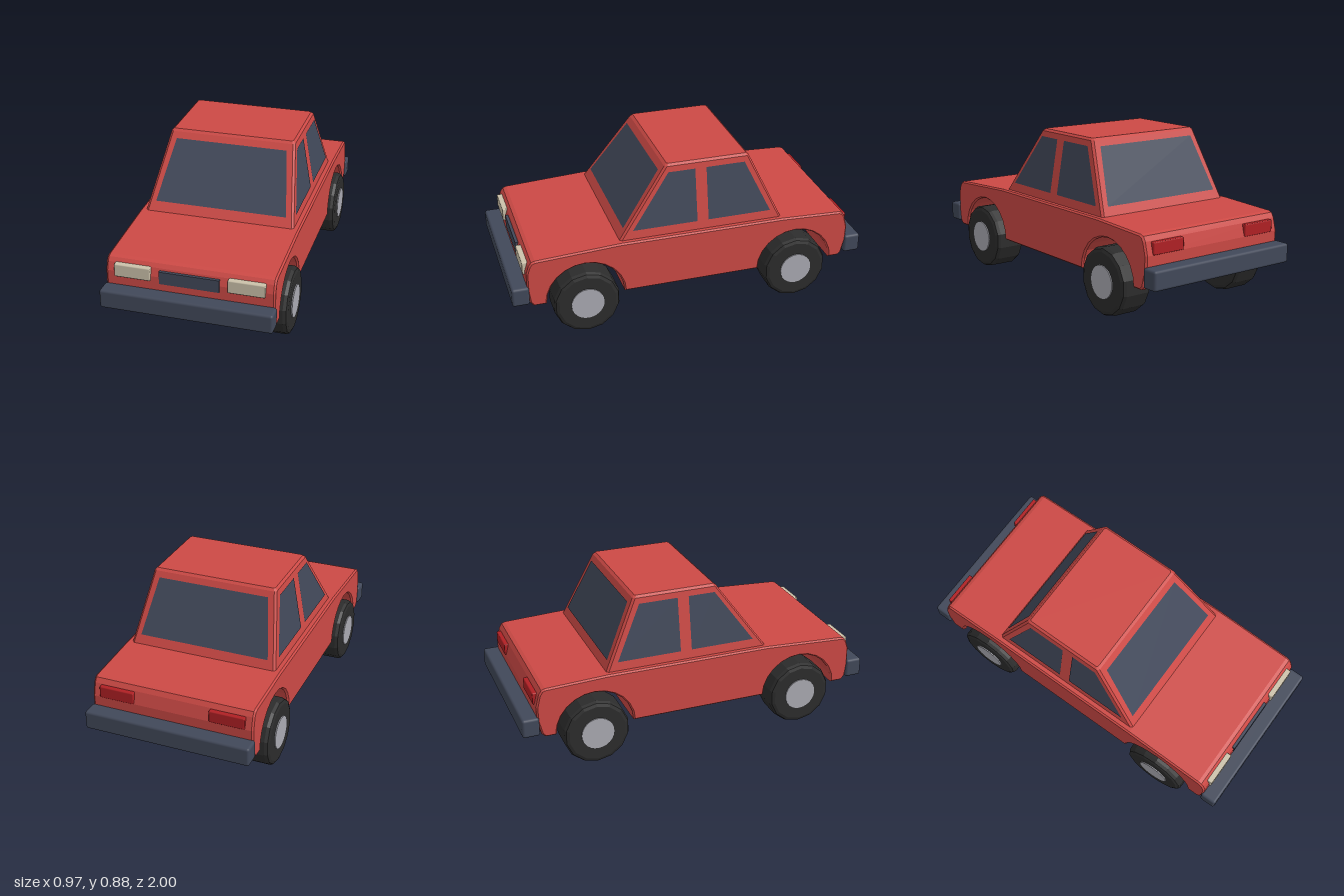
import * as THREE from 'three';
import { RoundedBoxGeometry } from 'three/addons/geometries/RoundedBoxGeometry.js';
import { ConvexGeometry } from 'three/addons/geometries/ConvexGeometry.js';

const mat = (name, color, flat = false) => {
  const m = new THREE.MeshStandardMaterial({ color, flatShading: flat });
  m.name = name;
  return m;
};

export function createModel() {
  const car = new THREE.Group();
  car.name = 'car';
  const red = mat('paint red', 0xcc4945, true);
  const slate = mat('slate trim', 0x414859);
  const rubber = mat('tyre rubber', 0x2c2c2c, true);
  const silver = mat('hub silver', 0xaaaab2);
  const cream = mat('headlight cream', 0xcbc1aa);
  const lampRed = mat('tail light red', 0xb02024);

  const add = (name, geo, material, x = 0, y = 0, z = 0, parent = car) => {
    const mesh = new THREE.Mesh(geo, material);
    mesh.name = name;
    mesh.position.set(x, y, z);
    parent.add(mesh);
    return mesh;
  };

  // Lower body: side profile (z, y) with wheel arches, extruded across x
  const arch = (cz) => {
    const pts = [];
    for (let i = 0; i <= 12; i++) {
      const a = Math.PI * (1 - i / 12);
      pts.push([cz + 0.215 * Math.cos(a), 0.2 + 0.21 * Math.sin(a)]);
    }
    return pts;
  };
  const profile = [
    [-0.875, 0.2], ...arch(-0.6), ...arch(0.6), [0.885, 0.2], [0.905, 0.225],
    [0.915, 0.3], [0.915, 0.4], [0.9, 0.445], [0.885, 0.465], [0.865, 0.472],
    [0.4, 0.497], [-0.52, 0.497], [-0.865, 0.482], [-0.885, 0.475],
    [-0.9, 0.45], [-0.918, 0.38], [-0.915, 0.3], [-0.895, 0.22],
  ].map(([z, y]) => new THREE.Vector2(z, y));
  const bodyGeo = new THREE.ExtrudeGeometry(new THREE.Shape(profile), {
    depth: 0.88, bevelThickness: 0.01, bevelSize: 0.008, bevelOffset: -0.008, bevelSegments: 1,
  });
  bodyGeo.translate(0, 0, -0.44).rotateY(-Math.PI / 2);
  add('body', bodyGeo, red);

  // Cabin: tapered block with small chamfers
  const Y0 = 0.49, Y1 = 0.88;
  const cabinPts = [];
  const ring = (y, hx, zf, zb, c) => {
    for (const s of [-1, 1]) {
      for (const [z, d] of [[zf, -1], [zb, 1]]) {
        cabinPts.push(new THREE.Vector3(s * (hx - c), y, z), new THREE.Vector3(s * hx, y, z + d * c));
      }
    }
  };
  ring(Y0, 0.418, 0.405, -0.525, 0.012);
  ring(Y1 - 0.012, 0.353, 0.13, -0.347, 0.012);
  ring(Y1, 0.34, 0.115, -0.333, 0.008);
  add('cabin', new ConvexGeometry(cabinPts), red);

  // Cabin wall positions at height y
  const wall = (a, b) => (y) => a + (b - a) * (y - Y0) / (Y1 - 0.012 - Y0);
  const sideX = wall(0.418, 0.353), frontZ = wall(0.405, 0.13), backZ = wall(-0.525, -0.347);
  const LO = 0.545, HI = 0.838, GAP = 0.004;

  // Window pane: four corners, counter-clockwise from outside
  const pane = (name, corners) => {
    const geo = new THREE.BufferGeometry();
    geo.setAttribute('position', new THREE.Float32BufferAttribute(corners.flat(), 3));
    geo.setIndex([0, 1, 2, 0, 2, 3]);
    geo.computeVertexNormals();
    add(name, geo, slate);
  };
  for (const [name, zAt, s] of [['windshield', frontZ, 1], ['rearWindow', backZ, -1]]) {
    const zl = zAt(LO) + s * GAP, zh = zAt(HI) + s * GAP;
    pane(name, [[-s * 0.368, LO, zl], [s * 0.368, LO, zl], [s * 0.313, HI, zh], [-s * 0.313, HI, zh]]);
  }
  for (const s of [1, -1]) {
    const side = s > 0 ? 'left' : 'right';
    const xl = s * (sideX(LO) + GAP), xh = s * (sideX(HI) + GAP);
    // Each opening: front bottom, rear bottom, rear top, front top z
    for (const [name, fb, rb, rt, ft] of [
      ['FrontWindow', 0.325, -0.037, -0.037, 0.113],
      ['BackWindow', -0.1, -0.457, -0.317, -0.1],
    ]) {
      const corners = [[xl, LO, fb], [xl, LO, rb], [xh, HI, rt], [xh, HI, ft]];
      pane(side + name, s > 0 ? corners : corners.reverse());
    }
  }

  // Bumpers
  for (const [name, z] of [['frontBumper', 0.953], ['rearBumper', -0.953]]) {
    add(name, new RoundedBoxGeometry(0.92, 0.105, 0.094, 2, 0.014), slate, 0, 0.272, z);
  }

  // Grille and lamps
  add('grille', new THREE.BoxGeometry(0.32, 0.07, 0.04), slate, 0, 0.399, 0.9);
  for (const s of [1, -1]) {
    const side = s > 0 ? 'left' : 'right';
    add(side + 'Headlight', new RoundedBoxGeometry(0.195, 0.072, 0.05, 1, 0.006), cream, s * 0.303, 0.411, 0.903);
    add(side + 'TailLight', new RoundedBoxGeometry(0.195, 0.066, 0.05, 1, 0.006), lampRed, s * 0.308, 0.413, -0.9);
  }

  // Wheels: chamfered faceted tyre with a hub showing on both faces
  const tyreProfile = [[0, -0.09], [0.158, -0.09], [0.175, -0.083], [0.183, -0.066],
    [0.183, 0.066], [0.175, 0.083], [0.158, 0.09], [0, 0.09]].map(([r, h]) => new THREE.Vector2(r, h));
  const tyreGeo = new THREE.LatheGeometry(tyreProfile, 14).rotateY(Math.PI / 2).rotateZ(Math.PI / 2);
  const hubGeo = new THREE.CylinderGeometry(0.09, 0.09, 0.192, 24).rotateZ(Math.PI / 2);
  for (const s of [1, -1]) {
    for (const z of [0.6, -0.6]) {
      const wheel = new THREE.Group();
      wheel.name = (z > 0 ? 'front' : 'rear') + (s > 0 ? 'Left' : 'Right') + 'Wheel';
      wheel.position.set(s * 0.39, 0.183, z);
      add('tyre', tyreGeo, rubber, 0, 0, 0, wheel);
      add('hub', hubGeo, silver, 0, 0, 0, wheel);
      car.add(wheel);
    }
  }
  return car;
}
